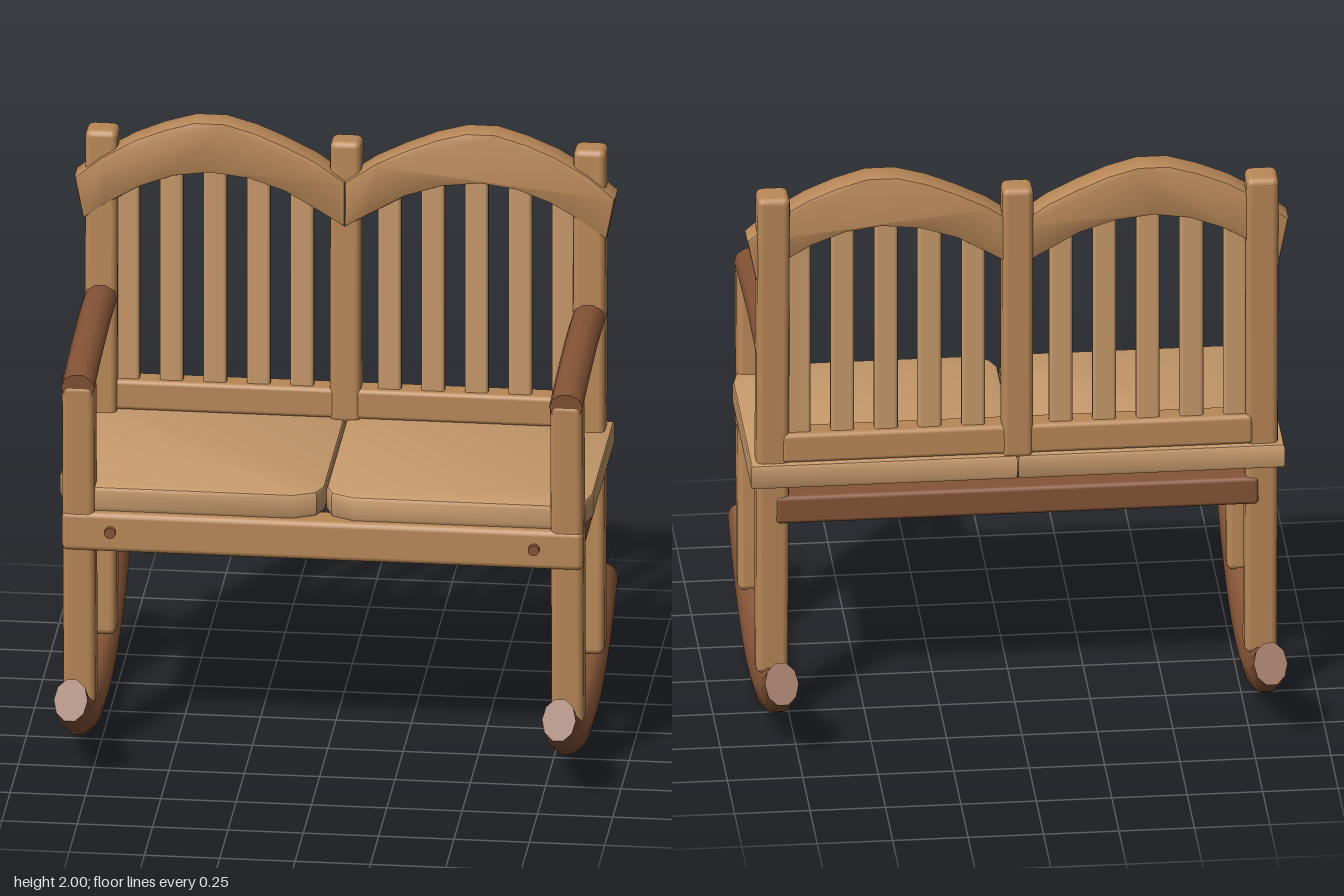
import * as THREE from 'three';
import { RoundedBoxGeometry } from 'three/addons/geometries/RoundedBoxGeometry.js';
import { toCreasedNormals } from 'three/addons/utils/BufferGeometryUtils.js';

const pale = new THREE.MeshStandardMaterial({ color: 0xc79a6b });
const mid = new THREE.MeshStandardMaterial({ color: 0xb98858 });
const dark = new THREE.MeshStandardMaterial({ color: 0x855436 });

const v2 = (pts) => pts.map(([a, b]) => new THREE.Vector2(a, b));

export function createModel() {
  const model = new THREE.Group();

  const add = (name, geometry, material, x = 0, y = 0, z = 0) => {
    const mesh = new THREE.Mesh(geometry, material);
    mesh.name = name;
    mesh.position.set(x, y, z);
    model.add(mesh);
    return mesh;
  };

  // Softened board, centred at x, y, z
  const board = (name, material, [w, h, d], [x, y, z], radius = 0.015) =>
    add(name, new RoundedBoxGeometry(w, h, d, 2, radius), material, x, y, z);

  // Leaning square post from (y0, z0) to (y1, z1)
  const post = (name, x, w, d, [y0, z0], [y1, z1]) => {
    const length = Math.hypot(y1 - y0, z1 - z0);
    const mesh = board(name, mid, [w, length, d], [x, (y0 + y1) / 2, (z0 + z1) / 2], 0.022);
    mesh.rotation.x = Math.atan2(z1 - z0, y1 - y0);
  };

  // Capped log with an oval section, bent along a curve in the y-z plane
  const log = (name, x, points, radius, xScale, steps) => {
    const section = [];
    for (let i = 0; i < 10; i++) {
      const a = (i / 10) * Math.PI * 2;
      section.push([radius * Math.cos(a), radius * Math.sin(a)]);
    }
    const path = new THREE.CatmullRomCurve3(points.map(([y, z]) => new THREE.Vector3(0, y, z)));
    const geometry = new THREE.ExtrudeGeometry(new THREE.Shape(v2(section)), { steps, extrudePath: path });
    geometry.scale(xScale, 1, 1);
    add(name, toCreasedNormals(geometry, 0.8), dark, x);
  };

  // Bevelled plate cut from an outline that already includes the bevel
  const plate = (outline, depth, bevel) => {
    const geometry = new THREE.ExtrudeGeometry(new THREE.Shape(v2(outline)), {
      depth: depth - 2 * bevel, bevelEnabled: true, bevelSize: bevel,
      bevelThickness: bevel, bevelOffset: -bevel, bevelSegments: 2,
    });
    geometry.translate(0, 0, bevel);
    return toCreasedNormals(geometry, 0.6);
  };

  // Rocker arc
  const rockerArc = [];
  for (let i = 0; i <= 10; i++) {
    const a = (i / 5 - 1) * 0.668;
    rockerArc.push([0.075 + 1.045 * (1 - Math.cos(a)), 1.045 * Math.sin(a)]);
  }

  for (const s of [1, -1]) {
    const side = s > 0 ? 'left' : 'right';
    const x = s * 0.81;

    // Rocker, legs, armrest and side rail
    log(side + 'Rocker', x, rockerArc, 0.074, 0.76, 10);
    post(side + 'FrontLeg', x, 0.108, 0.1, [0.18, 0.345], [1.335, 0.388]);
    post(side + 'BackPost', x, 0.108, 0.105, [0.18, -0.272], [1.95, -0.332]);
    log(side + 'Armrest', x, [[1.327, 0.435], [1.352, 0.2], [1.37, -0.1], [1.362, -0.32]], 0.048, 1.16, 8);
    board(side + 'SideRail', dark, [0.075, 0.1, 0.68], [x, 0.785, 0.0]);

    // Seat panel with clipped front corners
    const seat = [
      [0.002, -0.365], [0.885, -0.365], [0.885, 0.28], [0.865, 0.36], [0.79, 0.405],
      [0.1, 0.405], [0.025, 0.37], [0.002, 0.315],
    ].map(([a, b]) => [s * a, b]);
    const panel = plate(seat, 0.09, 0.015);
    panel.rotateX(Math.PI / 2);
    add(side + 'SeatPanel', panel, pale, 0, 0.965, 0);

    // Arched top board
    const arch = [
      [0, 1.65], [0.08, 1.698], [0.2, 1.768], [0.32, 1.808], [0.45, 1.823], [0.57, 1.806],
      [0.68, 1.764], [0.79, 1.7], [0.868, 1.643], [0.897, 1.79], [0.81, 1.862], [0.7, 1.928],
      [0.6, 1.97], [0.5, 2.0], [0.4, 2.0], [0.3, 1.972], [0.2, 1.93], [0.1, 1.88], [0, 1.81],
    ].map(([a, b]) => [s * a, b]);
    add(side + 'ArchedTop', plate(arch, 0.095, 0.01), mid, 0, 0, -0.362);

    // Back slats and the rail below them
    for (let i = 0; i < 5; i++) {
      board(side + 'BackSlat' + (i + 1), pale, [0.078, 0.82, 0.045], [s * (0.145 + i * 0.1445), 1.45, -0.315], 0.012);
    }
    board(side + 'BackLowerRail', mid, [0.75, 0.105, 0.085], [s * 0.405, 1.018, -0.315]);

    // Peg in the front apron
    const peg = add(side + 'Peg', new THREE.CylinderGeometry(0.019, 0.019, 0.06, 10), dark, s * 0.703, 0.815, 0.412);
    peg.rotation.x = Math.PI / 2;
  }

  // Centre post, front apron and back rail
  post('centrePost', 0, 0.104, 0.095, [0.95, -0.315], [1.945, -0.329]);
  board('frontApron', mid, [1.73, 0.138, 0.11], [0, 0.809, 0.37], 0.02);
  board('backRail', dark, [1.6, 0.1, 0.09], [0, 0.79, -0.307]);

  return model;
}
